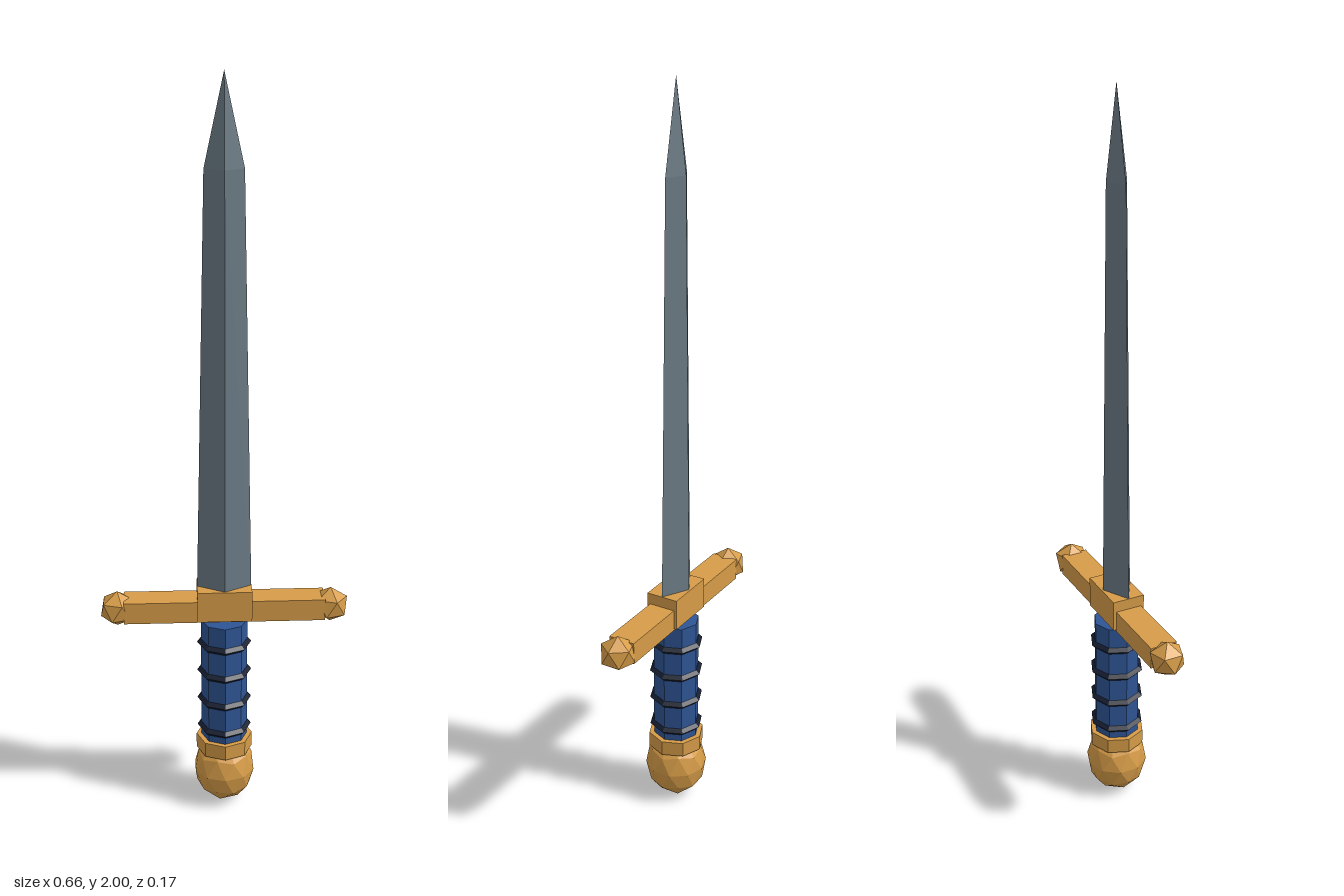
import * as THREE from 'three';

const mat = (color) => new THREE.MeshStandardMaterial({ color, flatShading: true });

// Icosahedral ball with one vertex pointing straight up
function ball(radius, detail) {
  const g = new THREE.IcosahedronGeometry(radius, detail);
  g.rotateZ(-Math.atan(2 / (1 + Math.sqrt(5))));
  return g;
}

export function createModel() {
  const model = new THREE.Group();
  model.name = 'shortSword';
  const gold = mat(0xd69c48);
  const steel = mat(0x6c7c86);
  const blue = mat(0x2f5594);
  const dark = mat(0x161e30);

  function add(name, geometry, material, x, y) {
    const mesh = new THREE.Mesh(geometry, material);
    mesh.name = name;
    mesh.position.set(x, y, 0);
    model.add(mesh);
    return mesh;
  }

  // Blade: diamond section, tapering to a shoulder and then a point
  const profile = [[0, 0.64], [0.073, 0.64], [0.05, 1.77], [0, 2]];
  const blade = new THREE.LatheGeometry(profile.map(([r, y]) => new THREE.Vector2(r, y)), 4);
  blade.scale(1, 1, 0.56);
  add('blade', blade, steel, 0, 0);

  // Guard: centre block, crossbar and faceted end knobs
  add('guardBlock', new THREE.BoxGeometry(0.146, 0.086, 0.09), gold, 0, 0.618);
  add('crossbar', new THREE.BoxGeometry(0.54, 0.06, 0.074), gold, 0, 0.6);
  for (const side of [1, -1]) {
    add(side > 0 ? 'leftKnob' : 'rightKnob', ball(0.05, 0), gold, side * 0.287, 0.6);
  }

  // Grip: eight-sided handle with four dark rings
  add('grip', new THREE.CylinderGeometry(0.063, 0.063, 0.37, 8), blue, 0, 0.375);
  for (let i = 0; i < 4; i++) {
    const ring = new THREE.TorusGeometry(0.064, 0.01, 4, 8);
    ring.rotateX(Math.PI / 2);
    add('gripRing', ring, dark, 0, 0.235 + i * 0.086);
  }

  // Pommel: collar and slightly tall faceted ball
  add('collar', new THREE.CylinderGeometry(0.077, 0.077, 0.042, 8), gold, 0, 0.184);
  const pommel = add('pommel', ball(0.085, 1), gold, 0, 0.1);
  pommel.scale.y = 0.1 / 0.085;

  return model;
}
